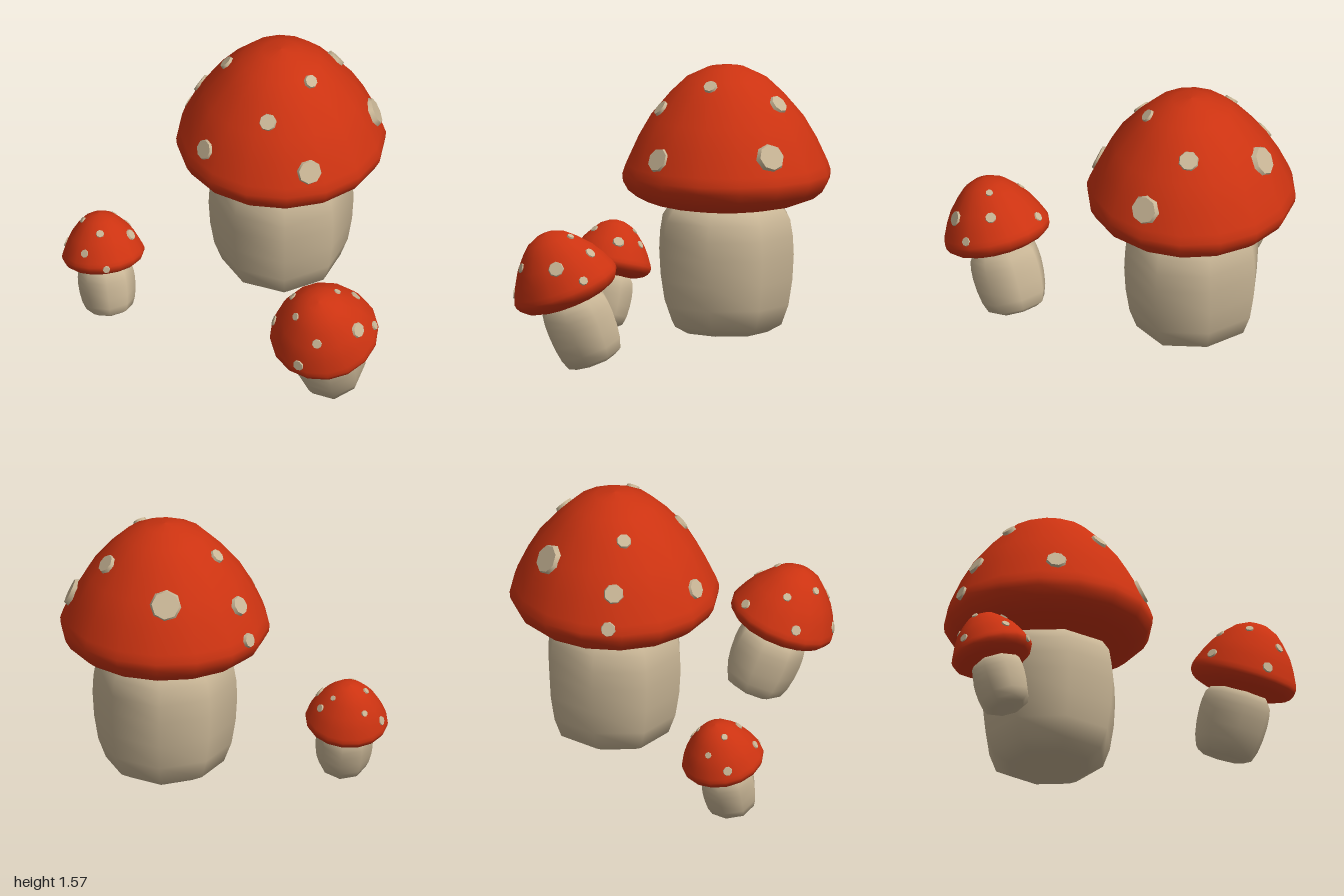
import * as THREE from 'three';

const red = new THREE.MeshStandardMaterial({ color: 0xcc3311 });
red.name = 'cap red';
const cream = new THREE.MeshStandardMaterial({ color: 0xc9b696 });
cream.name = 'stem cream';

const toPoints = (list) => list.map(([r, y]) => new THREE.Vector2(r, y));

// Profiles run from the underside up, with the foot of the stem at y = 0
const stemProfile = toPoints([[0, 0], [0.13, 0], [0.23, 0.005], [0.31, 0.05], [0.35, 0.16], [0.372, 0.3],
  [0.38, 0.44], [0.375, 0.54], [0.36, 0.63], [0.32, 0.69], [0.27, 0.72]]);
const capProfile = toPoints([[0, 0.7], [0.15, 0.695], [0.295, 0.697], [0.41, 0.72], [0.49, 0.75], [0.54, 0.79],
  [0.568, 0.84], [0.572, 0.88], [0.555, 0.93], [0.495, 1.06], [0.425, 1.18], [0.315, 1.31], [0.22, 1.4],
  [0.105, 1.455], [0, 1.47]]);
const CAP_SIDES = 16;

// Eight-sided stem, a little squarer than round
function stemGeometry() {
  const geometry = new THREE.LatheGeometry(stemProfile, 8);
  const p = geometry.attributes.position;
  for (let i = 0; i < p.count; i++) {
    const k = 1 + 0.04 * Math.sin(2 * Math.atan2(p.getZ(i), p.getX(i))) ** 2;
    p.setX(i, p.getX(i) * k);
    p.setZ(i, p.getZ(i) * k);
  }
  return geometry;
}

// Nearest point and outward normal on the upper cap profile
function snapToCap(r, y) {
  const target = new THREE.Vector2(r, y);
  let best = null;
  for (let i = 6; i < capProfile.length - 1; i++) {
    const a = capProfile[i];
    const d = capProfile[i + 1].clone().sub(a);
    const t = THREE.MathUtils.clamp(target.clone().sub(a).dot(d) / d.lengthSq(), 0, 1);
    const point = a.clone().addScaledVector(d, t);
    const distance = point.distanceTo(target);
    if (!best || distance < best.distance) {
      best = { point, distance, normal: new THREE.Vector2(d.y, -d.x).normalize() };
    }
  }
  return best;
}

// Shallow raised disc lying on the cap
function makeSpot(local, size) {
  const angle = Math.atan2(local.z, local.x);
  const { point, normal } = snapToCap(Math.hypot(local.x, local.z), local.y);
  const step = (2 * Math.PI) / CAP_SIDES;
  const off = ((angle % step) + step) % step - step / 2;
  const r = point.x * Math.cos(step / 2) / Math.cos(off);
  const c = Math.cos(angle), s = Math.sin(angle);
  const spot = new THREE.Mesh(new THREE.CylinderGeometry(size * 0.85, size, 0.03, 8), cream);
  spot.name = 'capSpot';
  spot.position.set(r * c, point.y, r * s);
  spot.quaternion.setFromUnitVectors(new THREE.Vector3(0, 1, 0),
    new THREE.Vector3(normal.x * c, normal.y, normal.x * s));
  return spot;
}

// Spots are given as x, y, z in the whole model, then radius
function makeMushroom(name, foot, axis, scale, spots) {
  const group = new THREE.Group();
  group.name = name;
  group.position.set(...foot);
  group.scale.setScalar(scale);
  group.quaternion.setFromUnitVectors(new THREE.Vector3(0, 1, 0), new THREE.Vector3(...axis).normalize());
  group.updateMatrixWorld(true);
  const stem = new THREE.Mesh(stemGeometry(), cream);
  stem.name = 'stem';
  const cap = new THREE.Mesh(new THREE.LatheGeometry(capProfile, CAP_SIDES), red);
  cap.name = 'cap';
  group.add(stem, cap);
  for (const [x, y, z, size] of spots) {
    group.add(makeSpot(group.worldToLocal(new THREE.Vector3(x, y, z)), size / scale));
  }
  return group;
}

export function createModel() {
  const model = new THREE.Group();
  model.name = 'mushroomCluster';
  model.add(
    makeMushroom('largeMushroom', [-0.21, 0.11, -0.235], [0, 1, 0], 1, [
      [-0.54, 1.28, -0.51, 0.09], [-0.1, 1.39, -0.56, 0.06], [0.16, 1.14, -0.59, 0.085],
      [0.03, 1.49, -0.21, 0.042], [-0.02, 1.35, 0.085, 0.052], [0.24, 1.11, 0.03, 0.075],
      [-0.32, 1.12, 0.275, 0.062], [-0.48, 1.43, -0.09, 0.045], [-0.67, 1.2, -0.085, 0.06],
      [-0.75, 1.02, -0.09, 0.045],
    ]),
    makeMushroom('leftMushroom', [0.625, 0.058, 0.275], [0.165, 0.93, 0.33], 0.52, [
      [0.54, 0.69, 0.505, 0.026], [0.755, 0.755, 0.38, 0.022], [0.67, 0.685, 0.63, 0.024],
      [0.84, 0.585, 0.64, 0.03], [0.94, 0.605, 0.41, 0.046], [0.47, 0.53, 0.58, 0.032],
      [0.755, 0.43, 0.7, 0.034], [0.785, 0.68, 0.255, 0.033], [0.93, 0.55, 0.255, 0.028],
      [0.53, 0.6, 0.29, 0.03],
    ]),
    makeMushroom('rightMushroom', [-0.7, 0.027, 0.612], [-0.235, 0.965, -0.1], 0.395, [
      [-0.755, 0.465, 0.765, 0.025], [-0.735, 0.55, 0.655, 0.024], [-0.89, 0.55, 0.625, 0.02],
      [-0.97, 0.385, 0.67, 0.028], [-0.62, 0.405, 0.73, 0.022], [-0.65, 0.5, 0.495, 0.034],
      [-0.82, 0.55, 0.43, 0.017], [-0.76, 0.48, 0.38, 0.025], [-0.96, 0.46, 0.555, 0.02],
    ]),
  );
  return model;
}
